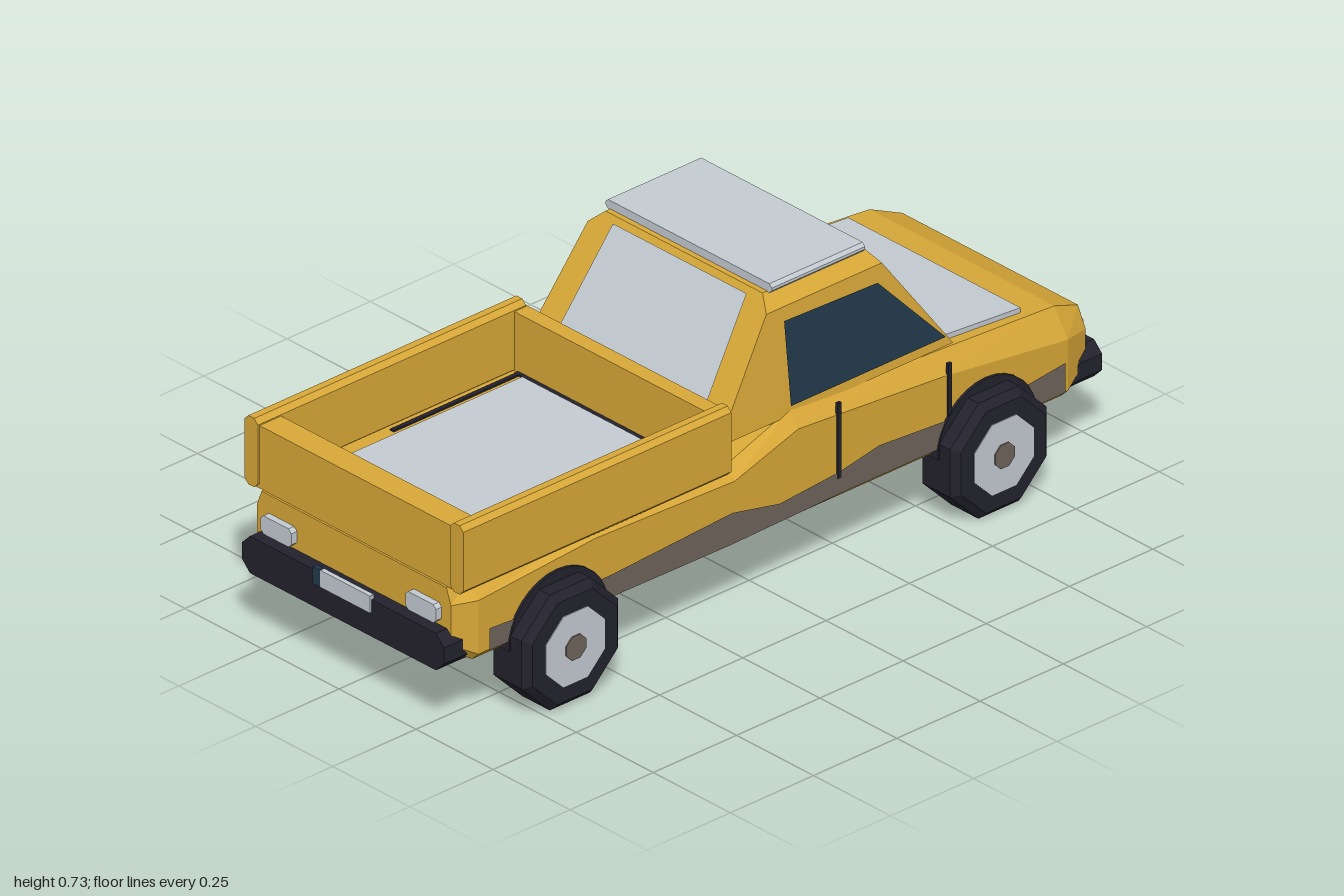
import * as THREE from 'three';
import { ConvexGeometry } from 'three/addons/geometries/ConvexGeometry.js';

const mat = (name, color) => new THREE.MeshStandardMaterial({ name, color, flatShading: true, side: THREE.DoubleSide });

// Skin a row of matching rings (counter-clockwise seen from +z, ordered from +z to -z).
function loft(rings) {
  const out = [], n = rings[0].length;
  const tri = (a, b, c) => out.push(...a, ...b, ...c);
  for (let s = 0; s < rings.length - 1; s++) {
    const A = rings[s], B = rings[s + 1];
    for (let i = 0; i < n; i++) {
      const j = (i + 1) % n;
      tri(A[i], B[i], B[j]);
      tri(A[i], B[j], A[j]);
    }
  }
  const F = rings[0], K = rings[rings.length - 1];
  for (let i = 1; i < n - 1; i++) {
    tri(F[0], F[i], F[i + 1]);
    tri(K[0], K[i + 1], K[i]);
  }
  const g = new THREE.BufferGeometry();
  g.setAttribute('position', new THREE.Float32BufferAttribute(out, 3));
  g.computeVertexNormals();
  return g;
}

// Rectangle with cut corners, as a ring at depth z.
const chamferRing = (x0, x1, y0, y1, c, z) => [
  [x0 + c, y0], [x1 - c, y0], [x1, y0 + c], [x1, y1 - c],
  [x1 - c, y1], [x0 + c, y1], [x0, y1 - c], [x0, y0 + c],
].map(([x, y]) => [x, y, z]);

// Block with cut corners along z.
const block = (x0, x1, y0, y1, z0, z1, c) =>
  loft([chamferRing(x0, x1, y0, y1, c, z1), chamferRing(x0, x1, y0, y1, c, z0)]);

// Flat polygon from its corners.
function face(pts) {
  const out = [];
  for (let i = 1; i < pts.length - 1; i++) out.push(...pts[0], ...pts[i], ...pts[i + 1]);
  const g = new THREE.BufferGeometry();
  g.setAttribute('position', new THREE.Float32BufferAttribute(out, 3));
  g.computeVertexNormals();
  return g;
}

export function createModel() {
  const truck = new THREE.Group();
  truck.name = 'pickupTruck';
  const paint = mat('yellowPaint', 0xd8a838);
  const black = mat('blackRubber', 0x23222d);
  const pale = mat('paleGrey', 0xc3cbd1);
  const glass = mat('darkGlass', 0x22384a);
  const dirt = mat('brownGreyTrim', 0x6f655a);

  const add = (name, geo, m, parent = truck) => {
    const mesh = new THREE.Mesh(geo, m);
    mesh.name = name;
    parent.add(mesh);
    return mesh;
  };
  const box = (name, w, h, d, x, y, z, m) => {
    const mesh = add(name, new THREE.BoxGeometry(w, h, d), m);
    mesh.position.set(x, y, z);
    return mesh;
  };

  // Lower body: z, bottom, shoulder height, top, half width, top half width
  const stations = [
    [0.955, 0.20, 0.32, 0.36, 0.315, 0.30],
    [0.90, 0.17, 0.325, 0.365, 0.345, 0.31],
    [0.55, 0.17, 0.35, 0.365, 0.345, 0.315],
    [0.13, 0.17, 0.337, 0.365, 0.345, 0.315],
    [-0.06, 0.17, 0.397, 0.434, 0.345, 0.315],
    [-0.50, 0.17, 0.365, 0.412, 0.345, 0.31],
    [-0.87, 0.17, 0.318, 0.385, 0.345, 0.30],
    [-0.955, 0.20, 0.30, 0.35, 0.31, 0.285],
  ];
  add('body', loft(stations.map(([z, b, s, t, w, wt]) => [
    [-w + 0.02, b, z], [w - 0.02, b, z], [w, b + 0.02, z], [w, s, z],
    [wt, t, z], [-wt, t, z], [-w, s, z], [-w, b + 0.02, z],
  ])), paint);

  // Cab
  const cabPoints = [];
  for (const s of [-1, 1]) {
    for (const [x, y, z] of [
      [0.318, 0.42, 0.13], [0.314, 0.46, 0.13], [0.29, 0.68, -0.015], [0.255, 0.712, -0.036],
      [0.318, 0.42, -0.55], [0.29, 0.68, -0.362], [0.255, 0.712, -0.339],
    ]) cabPoints.push(new THREE.Vector3(s * x, y, z));
  }
  add('cab', new ConvexGeometry(cabPoints), paint);
  add('roofPanel', block(-0.27, 0.27, 0.71, 0.733, -0.33, -0.05, 0.008), pale);

  // End windows follow the sloping cab ends
  const rearZ = y => 0.135 - (y - 0.46) * 0.66;
  const frontZ = y => -0.556 + (y - 0.42) * 0.724;
  const pane = (name, zAt, y0, y1, w0, w1) => add(name, face([
    [-w0, y0, zAt(y0)], [w0, y0, zAt(y0)], [w1, y1, zAt(y1)], [-w1, y1, zAt(y1)],
  ]), pale);
  pane('rearWindow', rearZ, 0.475, 0.70, 0.24, 0.217);
  pane('windscreen', frontZ, 0.435, 0.685, 0.255, 0.225);

  // Hood panel
  const hood = box('hoodPanel', 0.56, 0.016, 0.285, 0, 0.406, -0.645, pale);
  hood.rotation.x = -0.075;

  // Cargo bed
  add('bedTailgate', block(-0.337, 0.337, 0.36, 0.518, 0.885, 0.95, 0.015), paint);
  add('bedFrontWall', block(-0.337, 0.337, 0.36, 0.518, 0.145, 0.185, 0.008), paint);
  box('bedBase', 0.64, 0.01, 0.74, 0, 0.364, 0.54, paint);
  box('bedFloor', 0.54, 0.014, 0.67, 0, 0.37, 0.535, pale);
  box('bedFrontSeam', 0.6, 0.006, 0.01, 0, 0.37, 0.19, black);

  for (const s of [-1, 1]) {
    const side = s > 0 ? 'left' : 'right';
    add(side + 'BedWall', block(s > 0 ? 0.312 : -0.355, s > 0 ? 0.355 : -0.312, 0.36, 0.533, 0.15, 0.955, 0.012), paint);
    box(side + 'BedSeam', 0.012, 0.006, 0.38, s * 0.293, 0.37, 0.38, black);

    // Side window lies just outside the cab side
    add(side + 'Window', face([[-0.06, 0.445], [-0.06, 0.65], [-0.34, 0.642], [-0.525, 0.445]]
      .map(([z, y]) => [s * (0.324 - (y - 0.42) * 0.108), y, z])), glass);

    // Wavy lower trim and door seams
    add(side + 'LowerTrim', face([
      [0.14, 0.183], [0.87, 0.19], [0.87, 0.245], [0.78, 0.24], [0.5, 0.243], [0.14, 0.262],
    ].map(([z, y]) => [s * 0.348, y, z])), dirt);
    add(side + 'FrontLowerTrim', face([
      [-0.2, 0.19], [0.14, 0.183], [0.14, 0.262], [0, 0.232], [-0.18, 0.245],
      [-0.3, 0.267], [-0.48, 0.255], [-0.75, 0.235], [-0.86, 0.265], [-0.86, 0.19],
    ].map(([z, y]) => [s * 0.348, y, z])), dirt);
    box(side + 'DoorRearSeam', 0.008, 0.19, 0.01, s * 0.346, 0.325, -0.18, black);
    box(side + 'DoorFrontSeam', 0.008, 0.17, 0.01, s * 0.346, 0.31, -0.512, black);

    // Wheels and arches
    for (const [end, z] of [['Rear', 0.665], ['Front', -0.622]]) {
      const arch = add(side + end + 'Arch', new THREE.CylinderGeometry(0.15, 0.15, 0.05, 16, 1, false, 0, Math.PI), black);
      arch.rotation.z = Math.PI / 2;
      arch.position.set(s * 0.327, 0.167, z);

      const wheel = new THREE.Group();
      wheel.name = side + end + 'Wheel';
      wheel.position.set(s * 0.342, 0.145, z);
      wheel.rotation.z = Math.PI / 2;
      const profile = [[0, -0.062], [0.138, -0.062], [0.157, -0.045], [0.157, 0.045], [0.138, 0.062], [0, 0.062]]
        .map(([r, h]) => new THREE.Vector2(r, h));
      add('tyre', new THREE.LatheGeometry(profile, 8, Math.PI / 8), black, wheel);
      add('rim', new THREE.CylinderGeometry(0.096, 0.096, 0.128, 8, 1, false, Math.PI / 8), pale, wheel);
      add('hub', new THREE.CylinderGeometry(0.032, 0.032, 0.134, 8, 1, false, Math.PI / 8), dirt, wheel);
      truck.add(wheel);
    }
  }

  // Bumpers, lamps and plates, repeated at both ends
  for (const [end, turn] of [['rear', 0], ['front', Math.PI]]) {
    const g = new THREE.Group();
    g.name = end + 'End';
    g.rotation.y = turn;
    add('bumper', loft([
      chamferRing(-0.328, 0.328, 0.165, 0.258, 0.026, 0.988),
      chamferRing(-0.328, 0.328, 0.165, 0.258, 0.026, 0.925),
      chamferRing(-0.318, 0.318, 0.168, 0.2, 0.01, 0.88),
    ]), black, g);
    add('plate', block(-0.07, 0.092, 0.225, 0.268, 0.98, 0.992, 0.001), pale, g);
    add('plateBand', block(-0.094, -0.07, 0.225, 0.268, 0.98, 0.992, 0.001), glass, g);
    for (const s of [-1, 1]) {
      add('lamp', block(s * 0.235 - 0.05, s * 0.235 + 0.05, 0.268, 0.314, 0.94, 0.972, 0.009), pale, g);
    }
    if (end === 'front') add('grille', block(-0.135, 0.135, 0.25, 0.328, 0.94, 0.962, 0.002), black, g);
    truck.add(g);
  }
  return truck;
}
